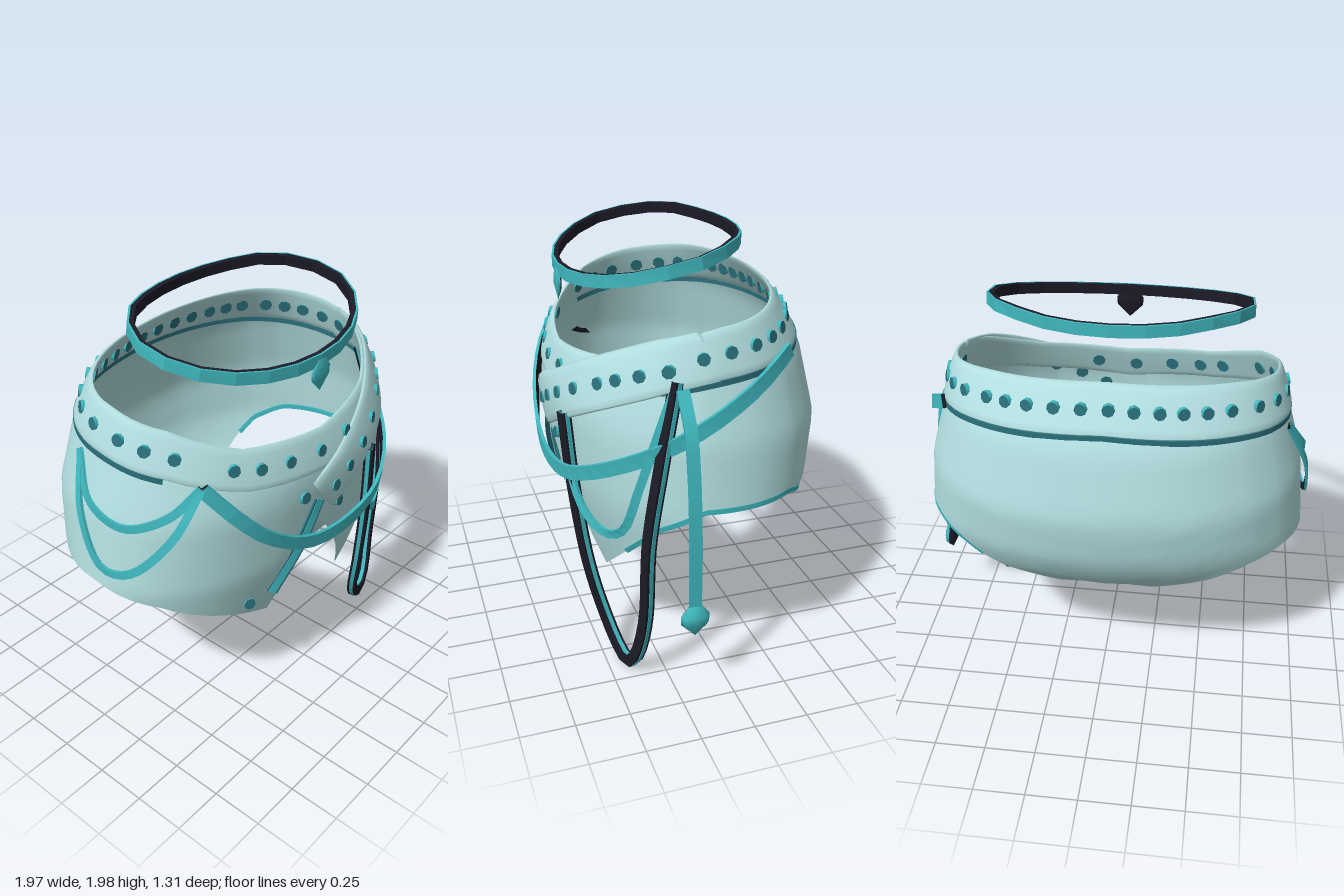
import * as THREE from 'three';
import { mergeVertices } from 'three/addons/utils/BufferGeometryUtils.js';

const mat = (name, color) => {
  const m = new THREE.MeshStandardMaterial({ color, side: THREE.DoubleSide });
  m.name = name;
  return m;
};
const V = (x, y, z) => new THREE.Vector3(x, y, z);
const RAD = Math.PI / 180, CX = -0.028, POW = 0.9;

// Piecewise linear lookup in a list of [key, value]
function lookup(table, k) {
  if (k <= table[0][0]) return table[0][1];
  for (let i = 1; i < table.length; i++) {
    const [a, va] = table[i - 1], [b, vb] = table[i];
    if (k <= b) return va + (vb - va) * (k - a) / (b - a);
  }
  return table[table.length - 1][1];
}
const spow = (v, p) => Math.sign(v) * Math.abs(v) ** p;

// Half width, front depth and back depth of the garment by height
const HALF = [[0.4, 0.88], [0.7, 0.93], [0.85, 0.95], [1.2, 0.915], [1.48, 0.835], [1.69, 0.765], [1.8, 0.73]];
const FRONT = [[0.4, 0.46], [0.6, 0.52], [0.85, 0.58], [1.2, 0.605], [1.3, 0.595], [1.46, 0.54], [1.65, 0.45]];
const BACK = [[0.55, 0.25], [0.62, 0.42], [0.75, 0.54], [0.9, 0.62], [1.15, 0.66], [1.5, 0.58], [1.76, 0.41]];
// Waistband edges and hem by angle in degrees (0 = front, +90 = left side)
const TOP = [[0, 1.46], [30, 1.51], [60, 1.63], [90, 1.69], [135, 1.74], [180, 1.76]];
const BOTTOM = [[0, 1.27], [30, 1.33], [60, 1.43], [90, 1.48], [135, 1.53], [180, 1.56]];
const HEM = [[-180, 0.58], [-165, 0.65], [-150, 0.74], [-134, 0.83], [-118, 0.87], [-90, 0.86], [-60, 0.78],
  [-16, 0.53], [-4, 0.95], [-2, 1.0], [22.5, 0.4], [60, 0.8], [80, 0.91], [118, 0.91], [134, 0.85], [150, 0.72],
  [165, 0.65], [180, 0.58]];

// Point on the garment at an angle and height, pushed out by off
function surf(deg, y, off = 0) {
  const s = Math.sin(deg * RAD), c = Math.cos(deg * RAD);
  const rz = lookup(c > 0 ? FRONT : BACK, y);
  return V(CX + (lookup(HALF, y) + off) * spow(s, POW), y, (rz + off) * spow(c, POW));
}
function angleAt(x, y) {
  const s = THREE.MathUtils.clamp((x - CX) / lookup(HALF, y), -1, 1);
  return Math.asin(spow(s, 1 / POW)) / RAD;
}
const onFront = (x, y, off) => surf(angleAt(x, y), y, off);

// Surface from rows of points
function sheet(rows) {
  const pos = [], idx = [], n = rows[0].length;
  rows.forEach(r => r.forEach(p => pos.push(p.x, p.y, p.z)));
  for (let i = 0; i < rows.length - 1; i++) for (let j = 0; j < n - 1; j++) {
    const a = i * n + j, b = a + n;
    idx.push(a, b, a + 1, b, b + 1, a + 1);
  }
  let g = new THREE.BufferGeometry();
  g.setAttribute('position', new THREE.Float32BufferAttribute(pos, 3));
  g.setIndex(idx);
  g = mergeVertices(g);
  g.computeVertexNormals();
  return g;
}

// Padded strip wrapped on the garment; closed section of rounded shape
function paddedBand(a0, a1, steps, lo, hi, off, thick, slant, capped) {
  const rows = [];
  for (let i = 0; i <= steps; i++) {
    const deg = a0 + (a1 - a0) * i / steps, row = [];
    const mid = (lo(deg) + hi(deg)) / 2, half = (hi(deg) - lo(deg)) / 2;
    for (let j = 0; j <= 12; j++) {
      const a = j / 12 * Math.PI * 2, h = spow(Math.sin(a), 0.6);
      row.push(surf(deg - slant * h, mid + half * h, off(deg) + thick * spow(Math.cos(a), 0.6)));
    }
    rows.push(row);
  }
  if (capped) {
    const cap = row => {
      const c = row.slice(0, 12).reduce((s, p) => s.add(p), V(0, 0, 0)).divideScalar(12);
      return row.map(() => c.clone());
    };
    rows.unshift(cap(rows[0]));
    rows.push(cap(rows[rows.length - 1]));
  }
  return sheet(rows);
}

// Flat strap along a path: outer face and edges in one colour, inner face in another
function strapGeometry(points, width, thick, normal, closed, samples) {
  const curve = new THREE.CatmullRomCurve3(points, closed, 'centripetal');
  const sections = [];
  for (let i = 0; i <= samples; i++) {
    const p = curve.getPointAt(i / samples), t = curve.getTangentAt(i / samples);
    const n = (normal ? normal.clone() : V(p.x, 0, p.z));
    n.addScaledVector(t, -n.dot(t)).normalize();
    const b = t.clone().cross(n).multiplyScalar(width / 2);
    n.multiplyScalar(thick / 2);
    sections.push([p.clone().add(n).add(b), p.clone().add(n).sub(b), p.clone().sub(n).sub(b), p.clone().sub(n).add(b)]);
  }
  const pos = [], g = new THREE.BufferGeometry();
  const put = (...ps) => ps.forEach(p => pos.push(p.x, p.y, p.z));
  [0, 1, 3, 2].forEach(k => {
    for (let i = 0; i < samples; i++) {
      const a = sections[i], b = sections[i + 1], m = (k + 1) % 4;
      put(a[k], a[m], b[k], b[k], a[m], b[m]);
    }
  });
  g.setAttribute('position', new THREE.Float32BufferAttribute(pos, 3));
  g.computeVertexNormals();
  g.addGroup(0, samples * 18, 0);
  g.addGroup(samples * 18, samples * 6, 1);
  return g;
}

export function createModel() {
  const root = new THREE.Group();
  const cloth = mat('pale aqua cloth', 0xb4e0e2), teal = mat('teal trim', 0x40b9c0);
  const deep = mat('deep teal stud', 0x2b707c), dark = mat('near black backing', 0x1c1b27);
  const add = (name, geo, m, parent = root) => {
    const mesh = new THREE.Mesh(geo, m);
    mesh.name = name;
    parent.add(mesh);
    return mesh;
  };
  const strap = (name, pts, w, th, outer = teal, inner = dark, normal = null, closed = false, n = 28) =>
    add(name, strapGeometry(pts.map(p => p.isVector3 ? p : V(...p)), w, th, normal, closed, n), [outer, inner]);
  const wrap = d => Math.abs(d > 180 ? d - 360 : d);
  const top = d => lookup(TOP, wrap(d)), bottom = d => lookup(BOTTOM, wrap(d));

  // Shorts body, with columns placed on the hem corners
  const angles = [...new Set([...HEM.map(h => h[0]), ...Array.from({ length: 61 }, (_, i) => -180 + i * 6)])].sort((a, b) => a - b);
  add('shortsBody', sheet(angles.map(d => Array.from({ length: 15 }, (_, j) => {
    const y0 = bottom(d) + 0.05;
    return surf(d, y0 + (lookup(HEM, d) - y0) * j / 14);
  }))), cloth);

  // Narrow crotch piece joining front and back: z, y, half width
  const gusset = [[0.54, 1.1, 0.25], [0.52, 0.92, 0.28], [0.47, 0.76, 0.32], [0.37, 0.67, 0.23], [0.12, 0.57, 0.055],
    [-0.2, 0.55, 0.055], [-0.36, 0.61, 0.19], [-0.45, 0.67, 0.26]];
  add('gusset', sheet(gusset.map(([z, y, w]) => [-1, -0.5, 0, 0.5, 1].map(k => V(CX + k * w, y + 0.02 * k * k, z)))), cloth);

  // Waistband and the slanted flap that leaves it and crosses the front
  add('waistband', paddedBand(-180, 180, 60, bottom, top, () => 0.002, 0.014, 0, false), cloth);
  const blend = d => THREE.MathUtils.smoothstep(d, 50, 80);
  const flapMid = d => 1.13 + 0.47 * (surf(d, 1.35).x + 0.1);
  const mix = (a, b, t) => a + (b - a) * t;
  add('frontFlapBand', paddedBand(-2.5, 84, 28, d => mix(flapMid(d) - 0.105, bottom(d), blend(d)),
    d => mix(flapMid(d) + 0.105, top(d), blend(d)), d => mix(0.02, 0, blend(d)), 0.015, 4, true), cloth);

  // Seam under the waistband, and trim along the left leg opening
  const run = (a, b, n, f) => Array.from({ length: n + 1 }, (_, i) => f(a + (b - a) * i / n));
  strap('waistSeam', run(62, 298, 30, d => surf(d, bottom(d) - 0.01, 0)), 0.026, 0.012, deep, deep, null, false, 60);
  strap('legTrim', run(42, 142, 24, d => surf(d, lookup(HEM, d) + 0.003, -0.006)), 0.024, 0.014, teal, teal, null, false, 36);

  // Flat studs through the bands and on the panels
  const studs = new THREE.Group();
  studs.name = 'studs';
  root.add(studs);
  const studGeo = new THREE.CylinderGeometry(0.029, 0.034, 0.048, 8);
  const stud = p => {
    const m = add('stud', studGeo, [teal, deep, deep], studs);
    m.position.copy(p);
    m.quaternion.setFromUnitVectors(V(0, 1, 0), V((p.x - CX) / 0.8, 0.2, p.z / 0.4).normalize());
  };
  const backAngles = [-0.57, -0.47, -0.37, -0.27, -0.16, -0.05, 0.07, 0.19, 0.31, 0.41, 0.5].map(x => 180 - angleAt(x, 1.66));
  for (const a of [-70, -57, -35, -25, -14, -2, 9, 81, 92, 104, 115, 126, -83, -97, -111, -124, ...backAngles])
    stud(surf(a, (top(a) + bottom(a)) / 2, 0.002));
  for (const x of [-0.01, 0.1, 0.23, 0.36, 0.5, 0.58, 0.66, 0.73]) stud(onFront(x, 1.13 + 0.47 * (x + 0.1), 0.02));
  for (const [x, y] of [[-0.2, 1.18], [0.085, 1.02], [-0.46, 0.66]]) stud(onFront(x, y, -0.008));

  // Stitched strip on the right front panel
  const stripPath = [[-0.09, 1.12], [-0.2, 0.91], [-0.33, 0.67]].map(([x, y]) => onFront(x, y, 0.004));
  strap('frontStripEdge', stripPath, 0.064, 0.02, deep, deep);
  strap('frontStrip', stripPath, 0.04, 0.026, teal, teal);

  // Long belt draped over the front, round to the left back
  strap('frontDrape', [[-0.7, 1.4, 0.42], [-0.6, 1.25, 0.52], [-0.45, 1.09, 0.59], [-0.2, 0.95, 0.635], [0.1, 0.91, 0.645],
    [0.4, 0.95, 0.61], [0.65, 1.06, 0.48], [0.83, 1.2, 0.27], [0.9, 1.32, 0.1], [0.87, 1.42, -0.08], [0.82, 1.49, -0.2],
    [0.74, 1.56, -0.32]], 0.068, 0.018);

  // Two thin drapes on the right hip
  strap('hipDrapeUpper', [[-0.7, 1.4, 0.42], [-0.82, 1.27, 0.33], [-0.93, 1.2, 0.16], [-0.95, 1.27, -0.02], [-0.86, 1.45, -0.16]], 0.038, 0.014);
  strap('hipDrapeLower', [[-0.7, 1.4, 0.42], [-0.84, 1.18, 0.37], [-0.955, 0.98, 0.2], [-0.985, 0.97, 0.06], [-0.965, 1.2, -0.07], [-0.86, 1.45, -0.16]], 0.038, 0.014);

  // Small teal loop and large dark loop with a teal core on the left front
  strap('smallLoop', [[0.33, 1.2, 0.6], [0.36, 0.95, 0.595], [0.45, 0.78, 0.56], [0.58, 0.715, 0.5], [0.7, 0.77, 0.44],
    [0.77, 1.0, 0.38], [0.79, 1.25, 0.3], [0.77, 1.47, 0.21]], 0.04, 0.016);
  const loop = [[0.32, 1.22, 0.605], [0.36, 0.85, 0.58], [0.41, 0.45, 0.53], [0.48, 0.19, 0.47], [0.57, 0.06, 0.43], [0.65, 0.035, 0.41],
    [0.72, 0.1, 0.39], [0.78, 0.32, 0.36], [0.82, 0.75, 0.35], [0.83, 1.1, 0.3], [0.77, 1.48, 0.21]];
  const loopNormal = V(0.35, 0, 1);
  strap('largeLoop', loop, 0.054, 0.044, dark, dark, loopNormal, false, 40);
  strap('largeLoopCore', loop, 0.06, 0.02, teal, teal, loopNormal, false, 40);

  // Pointed pendants: teal front half, dark back half
  const profile = [[0.001, -0.085], [0.066, -0.02], [0.068, 0.02], [0.03, 0.07], [0.001, 0.075]].map(p => new THREE.Vector2(...p));
  const pendant = (name, p, turn, depth) => {
    const g = new THREE.Group();
    g.name = name;
    add('pendantFront', new THREE.LatheGeometry(profile, 4, -Math.PI / 2, Math.PI), teal, g);
    add('pendantBack', new THREE.LatheGeometry(profile, 4, Math.PI / 2, Math.PI), dark, g);
    g.position.set(...p);
    g.rotation.y = turn;
    g.scale.z = depth;
    root.add(g);
  };

  // Hanging strap on the left side
  strap('sideStrap', [[0.82, 1.46, 0.2], [0.9, 1.3, 0.19], [0.935, 1.1, 0.185], [0.95, 0.8, 0.18], [0.94, 0.47, 0.175]], 0.055, 0.022, teal, dark, V(1, 0, 0.1));
  pendant('sidePendant', [0.94, 0.405, 0.175], Math.PI / 2, 0.5);

  // Floating ring: teal outside, dark lining, front pendant
  const ringY = [[-0.31, 1.955], [-0.15, 1.965], [0.2, 1.9], [0.53, 1.8]];
  const ring = inset => Array.from({ length: 22 }, (_, i) => {
    const a = i / 22 * Math.PI * 2, z = 0.11 + (0.425 - inset) * Math.cos(a);
    return V(-0.035 + (0.635 - inset) * Math.sin(a), lookup(ringY, z), z);
  });
  strap('floatingRing', ring(0), 0.058, 0.01, teal, dark, null, true, 22);
  strap('floatingRingLining', ring(0.016), 0.05, 0.022, dark, dark, null, true, 22);
  pendant('ringPendant', [-0.035, 1.735, 0.535], 0, 0.2);

  return root;
}
